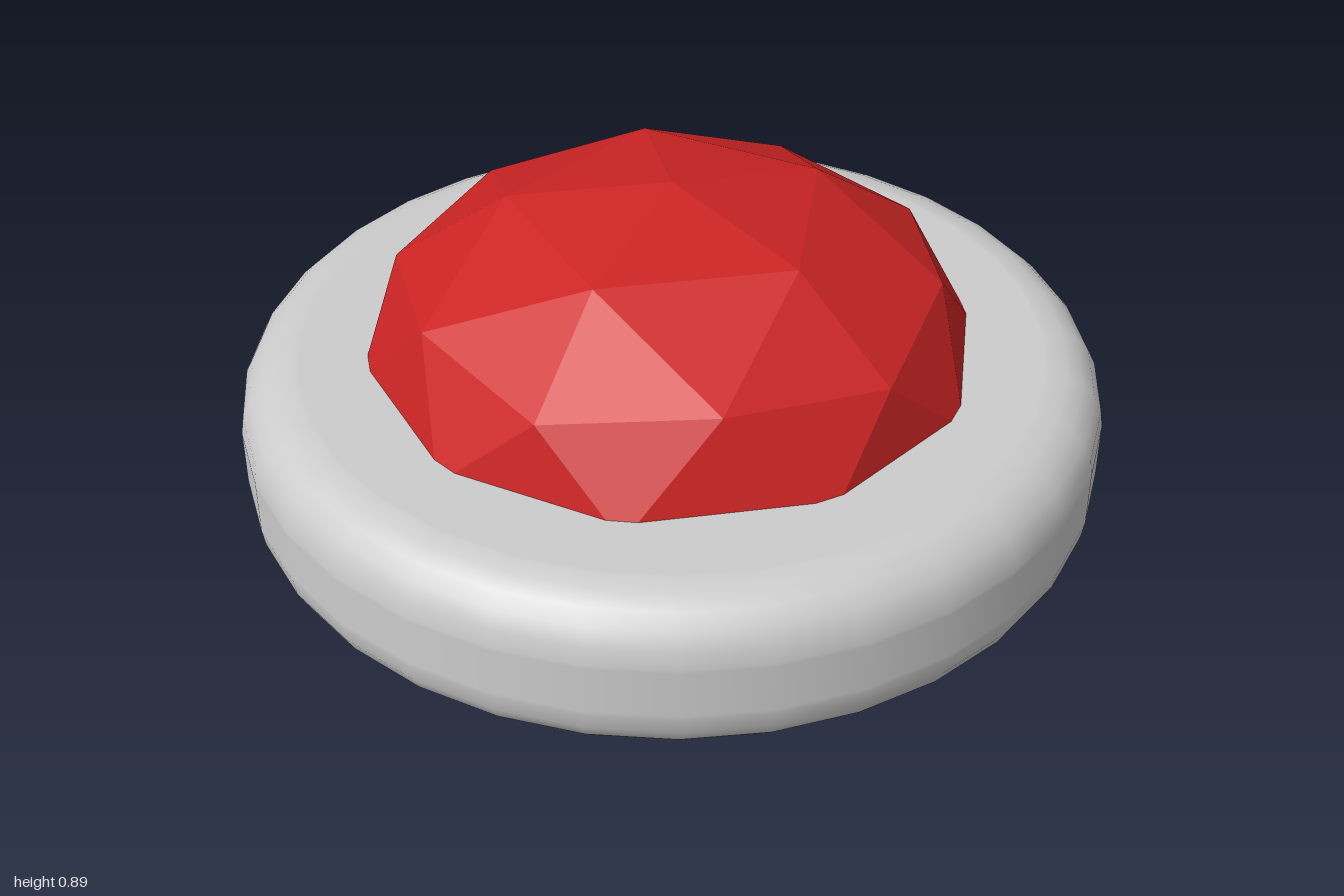
import * as THREE from 'three';

export function createModel() {
  const model = new THREE.Group();
  const grey = new THREE.MeshStandardMaterial({ color: 0xcccccc });
  grey.name = 'light grey';
  const red = new THREE.MeshStandardMaterial({ color: 0xcc2424 });
  red.name = 'gem red';

  // Round disc with rounded rims; close point pairs keep caps and wall flat
  const bottom = 0.09, top = 0.484, bevel = 0.13, steps = 5;
  const profile = [[0, bottom], [0.86, bottom]];
  for (let i = 0; i <= steps; i++) {
    const a = (i / steps) * Math.PI / 2;
    profile.push([1 - bevel + bevel * Math.sin(a), bottom + bevel * (1 - Math.cos(a))]);
  }
  profile.push([1, bottom + bevel + 0.01], [1, top - bevel - 0.01]);
  for (let i = 0; i <= steps; i++) {
    const a = (i / steps) * Math.PI / 2;
    profile.push([1 - bevel + bevel * Math.cos(a), top - bevel * (1 - Math.sin(a))]);
  }
  profile.push([0.86, top], [0, top]);
  const disc = new THREE.Mesh(
    new THREE.LatheGeometry(profile.map(([r, y]) => new THREE.Vector2(r, y)), 32), grey);
  disc.name = 'disc';
  model.add(disc);

  // Faceted gem: subdivided icosahedron stood on a corner and flattened
  const gemGeometry = new THREE.IcosahedronGeometry(1, 1);
  gemGeometry.rotateZ(Math.atan(2 / (1 + Math.sqrt(5))));
  gemGeometry.rotateY(Math.PI);
  gemGeometry.scale(0.72, 0.445, 0.72);
  gemGeometry.translate(0, 0.447, 0);
  gemGeometry.computeVertexNormals(); // unshared corners give flat facets
  const gem = new THREE.Mesh(gemGeometry, red);
  gem.name = 'gem';
  model.add(gem);

  return model;
}
